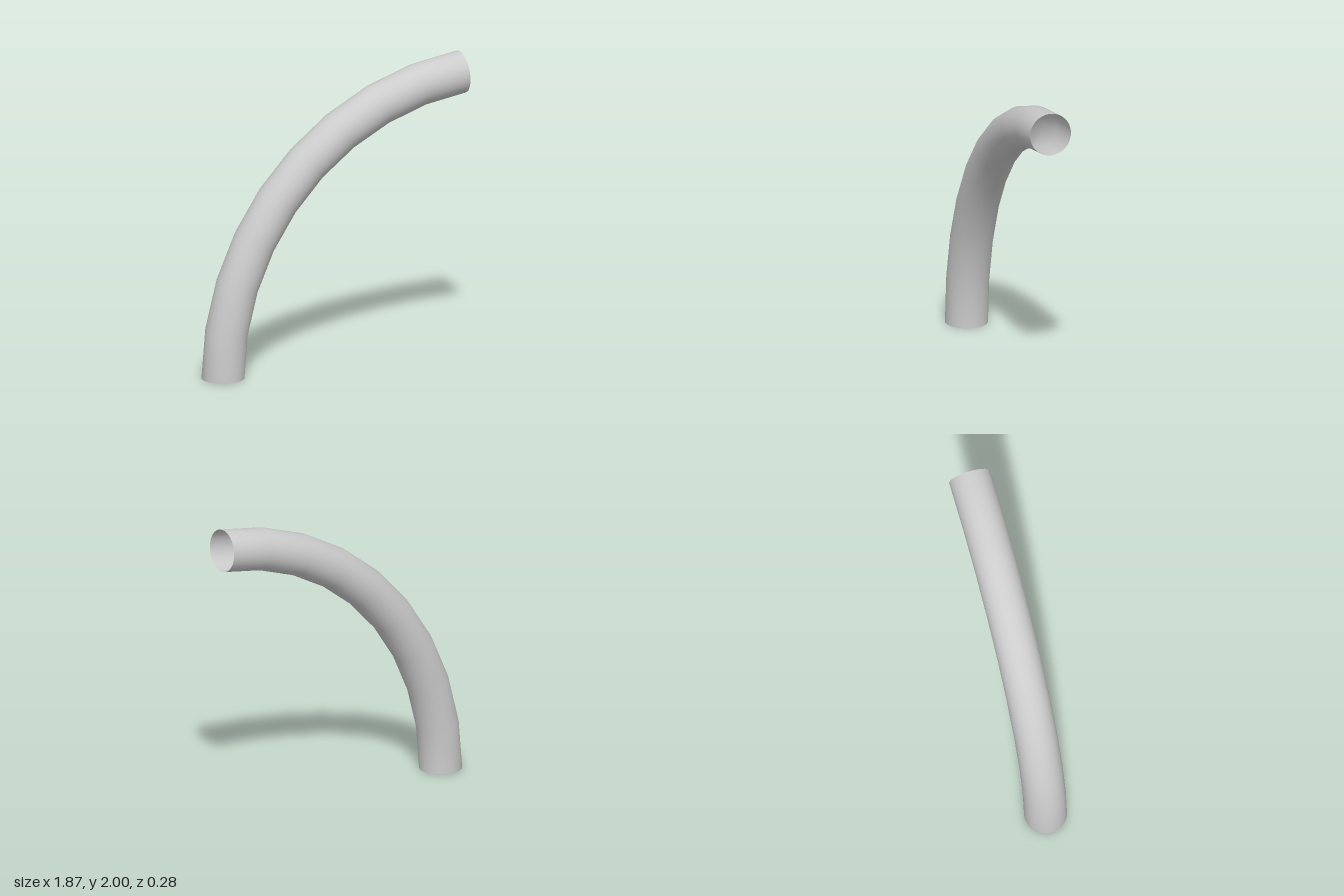
import * as THREE from 'three';

// An open-ended pipe bent along a circular arc in the xy plane.
export function createModel() {
  const bendRadius = 1.866;
  const pipeRadius = 0.14;
  const bendAngle = THREE.MathUtils.degToRad(85.5);

  // Nine straight runs, smooth around the pipe
  const geometry = new THREE.TorusGeometry(bendRadius, pipeRadius, 32, 9, bendAngle);
  // Turn the arc so it rises vertically from the ground and curves to the model's left
  geometry.rotateZ(Math.PI - bendAngle);
  geometry.translate(bendRadius + pipeRadius - 0.935, 0, 0);

  const material = new THREE.MeshStandardMaterial({ color: 0xcccccc, side: THREE.DoubleSide });
  const pipe = new THREE.Mesh(geometry, material);
  pipe.name = 'bentPipe';

  const group = new THREE.Group();
  group.name = 'pipeBend';
  group.add(pipe);
  return group;
}
